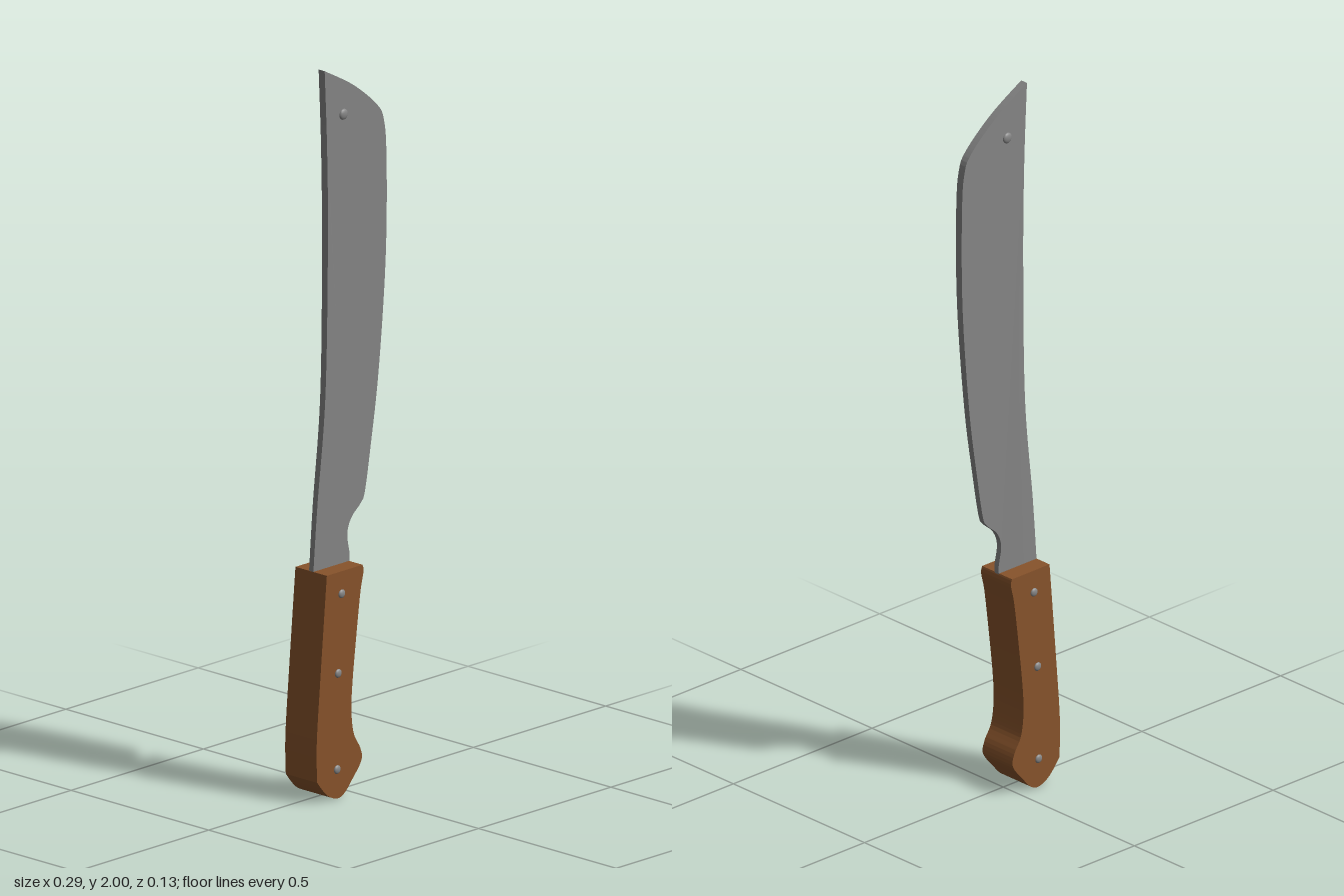
import * as THREE from 'three';
import { toCreasedNormals } from 'three/addons/utils/BufferGeometryUtils.js';

const steel = new THREE.MeshStandardMaterial({ color: 0x858585 });
steel.name = 'steel';
const wood = new THREE.MeshStandardMaterial({ color: 0x87532b });
wood.name = 'wood';

// The whole tool leans slightly forward
const lean = (y) => 0.0145 * y - 0.005;

// Outline made of smooth runs; corners stay sharp where runs meet
function outline(runs) {
  const shape = new THREE.Shape();
  shape.moveTo(...runs[0][0]);
  runs.forEach((run, i) => {
    const pts = run.slice(i ? 0 : 1).map(([x, y]) => new THREE.Vector2(x, y));
    shape.splineThru(pts);
  });
  return shape;
}

// Extruded plate whose half thickness depends on height, leaned forward
function plate(runs, halfThickness) {
  const geo = new THREE.ExtrudeGeometry(outline(runs), { depth: 1, bevelEnabled: false, curveSegments: 28 });
  const p = geo.attributes.position;
  for (let i = 0; i < p.count; i++) {
    const y = p.getY(i);
    p.setZ(i, (p.getZ(i) - 0.5) * 2 * halfThickness(y) + lean(y));
  }
  return toCreasedNormals(geo, 0.6);
}

function addMesh(parent, name, geo, mat) {
  const mesh = new THREE.Mesh(geo, mat);
  mesh.name = name;
  parent.add(mesh);
  return mesh;
}

// Domed pin heads on both faces
function addPins(parent, name, x, y, radius, offset, height) {
  for (const side of [1, -1]) {
    const pin = addMesh(parent, name, new THREE.SphereGeometry(radius, 16, 10), steel);
    pin.scale.z = height / radius;
    pin.position.set(x, y, lean(y) + side * offset);
  }
}

export function createModel() {
  const model = new THREE.Group();
  model.name = 'machete';

  // Blade: butt, notch and belly, clipped top, spine
  const bladeHalf = (y) => 0.0078 + 0.0032 * THREE.MathUtils.clamp((y - 0.6) / 1.0, 0, 1);
  addMesh(model, 'blade', plate([
    [[-0.118, 0.6], [0.015, 0.6]],
    [[0.02, 0.64], [0.01, 0.70], [0.025, 0.742], [0.06, 0.775], [0.075, 0.805], [0.095, 0.93],
      [0.118, 1.10], [0.136, 1.32], [0.143, 1.5], [0.14, 1.71], [0.13, 1.81], [0.103, 1.862],
      [0.012, 1.937], [-0.098, 2.0]],
    [[-0.085, 1.77], [-0.078, 1.5], [-0.08, 1.10], [-0.105, 0.8], [-0.118, 0.6]],
  ], bladeHalf), steel);
  addPins(model, 'bladeStud', -0.025, 1.865, 0.015, 0.011, 0.007);

  // Handle: flared guard end, narrow grip, hooked pommel
  addMesh(model, 'handle', plate([
    [[-0.117, 0.624], [0.018, 0.624]],
    [[0.022, 0.605], [0.011, 0.55], [-0.003, 0.43], [-0.015, 0.31], [-0.018, 0.23], [-0.008, 0.165],
      [0.017, 0.12], [0.022, 0.085], [-0.012, 0.04], [-0.042, 0.008], [-0.07, 0.0], [-0.108, 0.018],
      [-0.145, 0.06]],
    [[-0.148, 0.17], [-0.136, 0.36], [-0.117, 0.624]],
  ], () => 0.057), wood);
  for (const [x, y] of [[-0.06, 0.562], [-0.07, 0.345], [-0.07, 0.08]]) {
    addPins(model, 'handleRivet', x, y, 0.012, 0.057, 0.006);
  }
  return model;
}
